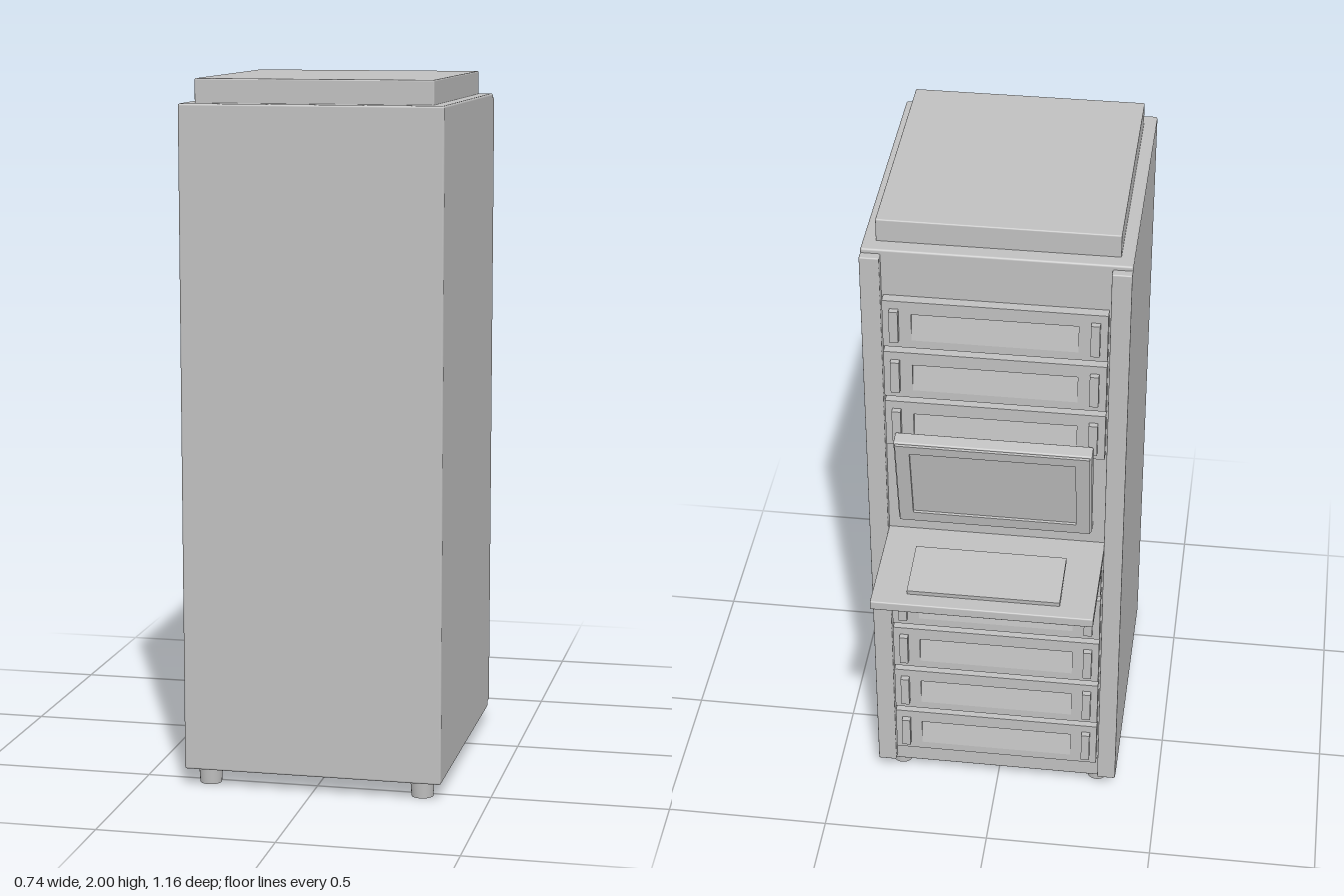
import * as THREE from 'three';
import { RoundedBoxGeometry } from 'three/addons/geometries/RoundedBoxGeometry.js';

const grey = new THREE.MeshStandardMaterial({ color: 0xc0c0c0 });
grey.name = 'cabinet grey';

function add(parent, name, geometry, x = 0, y = 0, z = 0) {
  const mesh = new THREE.Mesh(geometry, grey);
  mesh.name = name;
  mesh.position.set(x, y, z);
  parent.add(mesh);
  return mesh;
}

// Box given by its limits, with softly rounded edges
function block(parent, name, [x0, x1], [y0, y1], [z0, z1], r = 0.006) {
  const g = new RoundedBoxGeometry(x1 - x0, y1 - y0, z1 - z0, 2, r);
  return add(parent, name, g, (x0 + x1) / 2, (y0 + y1) / 2, (z0 + z1) / 2);
}

function rectPath(target, x0, x1, y0, y1) {
  target.moveTo(x0, y0);
  target.lineTo(x1, y0);
  target.lineTo(x1, y1);
  target.lineTo(x0, y1);
  target.closePath();
  return target;
}

// Rectangular plate with a rectangular opening
function frame(w, h, hole, depth) {
  const shape = rectPath(new THREE.Shape(), -w / 2, w / 2, -h / 2, h / 2);
  shape.holes.push(rectPath(new THREE.Path(), ...hole));
  return new THREE.ExtrudeGeometry(shape, { depth, bevelEnabled: false });
}

// Rack unit: framed face, sloping recess and two upright handles
function rackUnit(y) {
  const unit = new THREE.Group();
  unit.name = 'rackUnit';
  unit.position.y = y;
  add(unit, 'unitFace', frame(0.62, 0.15, [-0.23, 0.23, -0.05, 0.035], 0.035), 0, 0, -0.265);
  const profile = new THREE.Shape([
    new THREE.Vector2(0.232, -0.05), new THREE.Vector2(0.265, -0.05),
    new THREE.Vector2(0.25, 0.035), new THREE.Vector2(0.232, 0.035),
  ]);
  const slope = new THREE.ExtrudeGeometry(profile, { depth: 0.46, bevelEnabled: false });
  slope.rotateY(Math.PI / 2);
  add(unit, 'recessSlope', slope, -0.23);
  for (const s of [-1, 1]) {
    add(unit, 'handle', new THREE.BoxGeometry(0.025, 0.1, 0.025), s * 0.277, 0, -0.27);
  }
  return unit;
}

export function createModel() {
  const model = new THREE.Group();
  model.name = 'serverCabinet';

  // Cabinet shell, raised lid and rear rails
  block(model, 'cabinetBody', [-0.37, 0.37], [0.05, 1.933], [-0.235, 0.578]);
  block(model, 'lid', [-0.334, 0.334], [1.9, 2], [-0.19, 0.533], 0.004);
  for (const s of [-1, 1]) {
    const [a, b] = s > 0 ? [0.315, 0.37] : [-0.37, -0.315];
    block(model, 'rearRail', [a, b], [0.066, 1.92], [-0.26, -0.22], 0.004);
    // Tapered feet
    for (const z of [0.52, -0.17]) {
      add(model, 'foot', new THREE.CylinderGeometry(0.035, 0.031, 0.06, 24), s * 0.308, 0.03, z);
    }
  }

  // Three units above the console, five below
  for (const y of [1.715, 1.547, 1.38, 0.877, 0.71, 0.542, 0.374, 0.206]) model.add(rackUnit(y));

  // Tilted monitor with a sunken display
  const monitor = new THREE.Group();
  monitor.name = 'monitor';
  monitor.position.set(0, 1.202, -0.282);
  monitor.rotation.x = -0.18;
  block(monitor, 'monitorCase', [-0.28, 0.28], [-0.16, 0.16], [-0.017, 0.025], 0.005);
  add(monitor, 'displayBezel', frame(0.55, 0.31, [-0.235, 0.235, -0.12, 0.125], 0.01), 0, 0, -0.025);
  model.add(monitor);

  // Pull-out shelf and keyboard
  block(model, 'shelf', [-0.316, 0.316], [0.953, 0.982], [-0.58, -0.23], 0.004);
  const keyboard = add(model, 'keyboard', new THREE.BoxGeometry(0.434, 0.016, 0.178), 0, 0.997, -0.446);
  keyboard.rotation.x = -0.11;

  return model;
}
